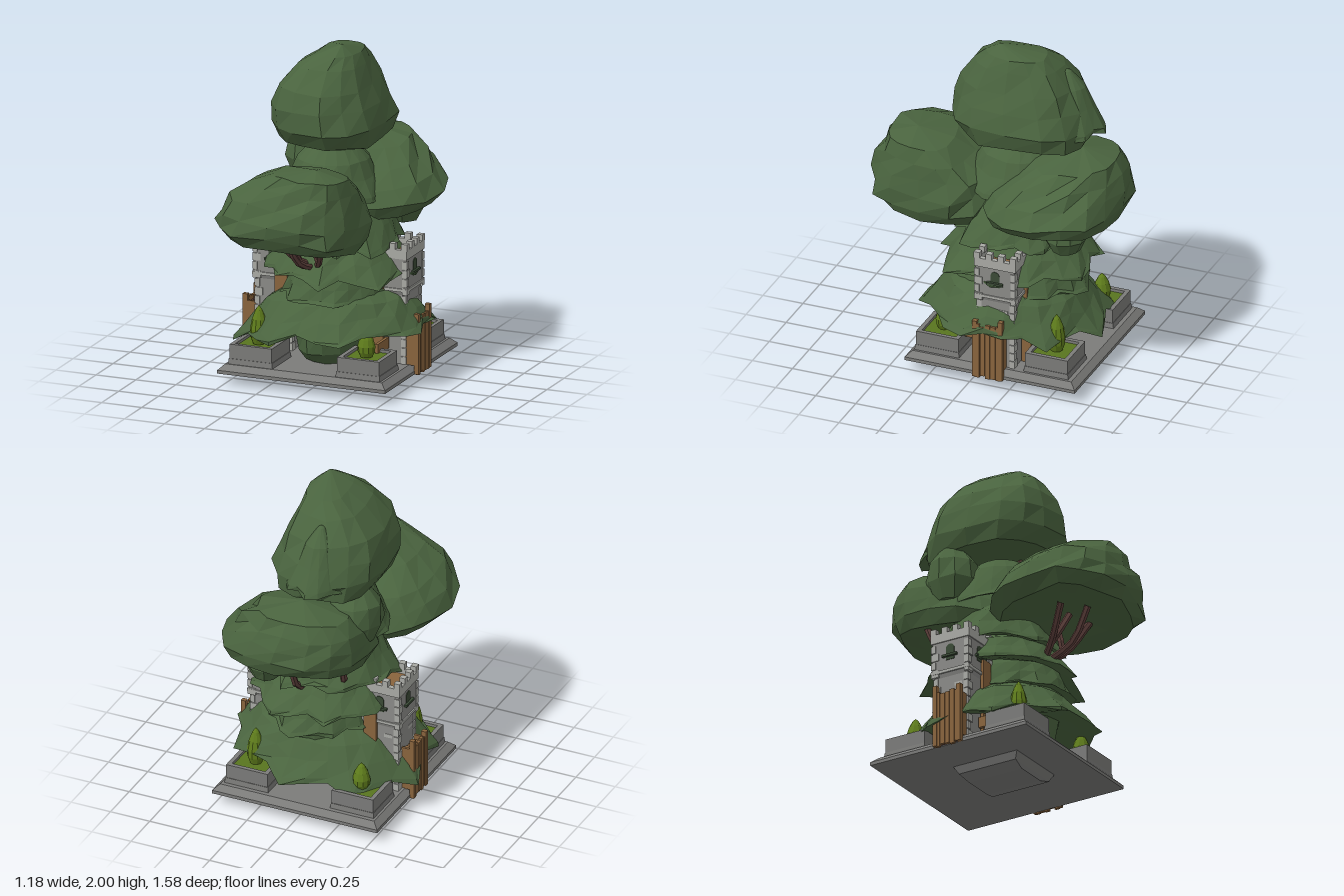
import * as THREE from 'three';

const mat = (name, color, side = THREE.FrontSide) => {
  const m = new THREE.MeshStandardMaterial({ color, side, flatShading: true });
  m.name = name;
  return m;
};

// Repeatable pseudo-random value in -1..1
const hash = (a, b) => {
  const s = Math.sin(a * 127.1 + b * 311.7) * 43758.5453;
  return (s - Math.floor(s)) * 2 - 1;
};

// Faceted surface lofted through rings of [y, cx, cz, rx, rz, jag]; power below 1 squares the outline
function loft(rings, n, seed, rough, slopeX = 0, slopeZ = 0, power = 1) {
  const pos = [], idx = [];
  const bulge = v => Math.sign(v) * Math.abs(v) ** power;
  rings.forEach(([y, cx, cz, rx, rz, jag = 0], r) => {
    for (let i = 0; i < n; i++) {
      const a = (i / n) * Math.PI * 2;
      const lobe = jag * (0.6 * hash(i, seed) + 0.4 * Math.sin(i * 2.1 + seed));
      const k = 1 + rough * hash(i + r * 31, seed) + lobe;
      const dx = bulge(Math.cos(a)) * rx * k, dz = bulge(Math.sin(a)) * rz * k;
      const dy = rx * (rough * 0.7 * hash(i + r * 17, seed + 5) - lobe * 0.7);
      pos.push(cx + dx, y + dy + dx * slopeX + dz * slopeZ, cz + dz);
      if (r < rings.length - 1) {
        const p = r * n + i, q = r * n + ((i + 1) % n);
        idx.push(p, p + n, q, q, p + n, q + n);
      }
    }
  });
  const g = new THREE.BufferGeometry();
  g.setAttribute('position', new THREE.Float32BufferAttribute(pos, 3));
  g.setIndex(idx);
  const flat = g.toNonIndexed();
  flat.computeVertexNormals();
  return flat;
}

// Rectangular block whose top may differ in size from its bottom, standing on y = 0
function taper(w, d, h, topW = w, topD = d) {
  const g = new THREE.BoxGeometry(w, h, d).translate(0, h / 2, 0);
  const p = g.attributes.position;
  for (let i = 0; i < p.count; i++) {
    if (p.getY(i) > h / 2) p.setXYZ(i, p.getX(i) * topW / w, h, p.getZ(i) * topD / d);
  }
  g.computeVertexNormals();
  return g;
}

export function createModel() {
  const leaf = mat('leaf green', 0x4a643f, THREE.DoubleSide);
  const bark = mat('bark', 0x5e403c);
  const stone = mat('base stone', 0x7b7b79);
  const wall = mat('tower stone', 0x8a8a87);
  const trim = mat('pale stone', 0xa9aaa5);
  const wood = mat('wood', 0x89643d);
  const grass = mat('grass', 0x58751f);
  const shrub = mat('shrub green', 0x5f7d1c);
  const dark = mat('window green', 0x3a4a36);

  const root = new THREE.Group();
  const add = (name, geo, m, x = 0, y = 0, z = 0, parent = root) => {
    const mesh = new THREE.Mesh(geo, m);
    mesh.name = name;
    mesh.position.set(x, y, z);
    parent.add(mesh);
    return mesh;
  };
  const box = (name, m, w, h, d, x, y, z, parent) =>
    add(name, new THREE.BoxGeometry(w, h, d), m, x, y, z, parent);
  const CX = -0.01, CZ = -0.13;

  // Base slab and the tapered foot below it
  add('baseLip', taper(1.05, 1.06, 0.02), stone, CX, 0.065, CZ);
  add('baseSlab', taper(1.05, 1.06, 0.033, 0.98, 0.99), stone, CX, 0.085, CZ);
  add('footSole', taper(0.2, 0.36, 0.022, 0.36, 0.385), stone, -0.055, 0, -0.05);
  add('foot', taper(0.36, 0.385, 0.045, 0.405, 0.435), stone, -0.062, 0.022, -0.05);

  // Corner planters with a grass bed and a shrub
  const frame = new THREE.Shape();
  const square = (path, s) => path.moveTo(-s, -s).lineTo(s, -s).lineTo(s, s).lineTo(-s, s).closePath();
  square(frame, 0.132);
  frame.holes.push(square(new THREE.Path(), 0.106));
  const frameGeo = new THREE.ExtrudeGeometry(frame, { depth: 0.085, bevelEnabled: false })
    .rotateX(-Math.PI / 2);
  const shrubGeo = new THREE.LatheGeometry([[0, 0], [0.035, 0.02], [0.05, 0.2], [0.052, 0.4], [0.04, 0.65], [0.02, 0.88], [0, 1]]
    .map(([x, y]) => new THREE.Vector2(x, y)), 10);
  for (const sx of [-1, 1]) for (const sz of [-1, 1]) {
    const p = new THREE.Group();
    p.name = 'planter';
    p.position.set(CX + sx * 0.336, 0.118, CZ + 0.01 + sz * 0.34);
    root.add(p);
    add('planterPlinth', taper(0.278, 0.278, 0.032, 0.27, 0.27), stone, 0, 0, 0, p);
    add('planterWall', frameGeo, stone, 0, 0.032, 0, p);
    box('grassBed', grass, 0.215, 0.07, 0.215, 0, 0.065, 0, p);
    const s = add('shrub', shrubGeo, shrub, 0, 0.1, sz * 0.01, p);
    s.scale.y = sx === sz ? 0.17 : 0.235;
  }

  // Towers, gates and fences, one set on each side
  const arch = new THREE.Shape();
  arch.moveTo(-0.028, 0).lineTo(0.028, 0).lineTo(0.028, 0.07).absarc(0, 0.07, 0.028, 0, Math.PI).closePath();
  const archGeo = new THREE.ExtrudeGeometry(arch, { depth: 0.006, bevelEnabled: false });
  for (const s of [-1, 1]) {
    const t = new THREE.Group();
    t.name = 'tower';
    t.position.set(CX + s * 0.355, 0, -0.145);
    root.add(t);
    box('towerShaft', wall, 0.225, 0.46, 0.225, 0, 0.34, 0, t);
    add('corbel', taper(0.225, 0.225, 0.035, 0.25, 0.25), wall, 0, 0.53, 0, t);
    box('crown', wall, 0.245, 0.2, 0.245, 0, 0.66, 0, t);
    box('towerFloor', wood, 0.2, 0.008, 0.2, 0, 0.765, 0, t);
    for (let k = 0; k < 4; k++) {
      const side = new THREE.Group();
      side.name = 'towerSide';
      side.rotation.y = k * Math.PI / 2;
      t.add(side);
      box('parapet', trim, 0.255, 0.055, 0.03, 0, 0.777, 0.115, side);
      box('ledge', trim, 0.258, 0.018, 0.02, 0, 0.562, 0.12, side);
      for (let i = 0; i < 4; i++) {
        box('merlon', trim, 0.036, 0.04, 0.036, -0.112 + i * 0.0747, 0.82, 0.112, side);
      }
      // Alternating corner stones
      for (let i = 0; i < 12; i++) {
        const y = 0.14 + i * 0.052, r = y > 0.53 ? 0.11 : 0.1, w = i % 2 ? 0.03 : 0.05;
        box('cornerStone', trim, w, 0.044, 0.03, -r - 0.018 + w / 2, y, r + 0.003, side);
      }
      // Arched window with sill
      add('window', archGeo, dark, 0, 0.63, 0.12, side);
      box('sill', dark, 0.1, 0.014, 0.03, 0, 0.655, 0.125, side);
      box('wallBrick', trim, 0.05, 0.022, 0.008, 0.05, 0.47, 0.111, side);
      box('wallBrick', trim, 0.045, 0.022, 0.008, -0.045, 0.36, 0.111, side);
    }

    // Plank gate with side walls and a walkway behind it
    const gx = CX + s * 0.536;
    for (let i = 0; i < 5; i++) {
      box('gatePlank', wood, 0.018, 0.335 + 0.02 * hash(i, s), 0.029, gx, 0.232, -0.06 - i * 0.0325, root);
      box('walkwayPlank', wood, 0.075, 0.012, 0.028, gx - s * 0.04, 0.35 + 0.006 * (i % 2), -0.06 - i * 0.0325, root);
    }
    box('gateBacking', bark, 0.012, 0.3, 0.17, gx - s * 0.012, 0.22, -0.125, root);
    for (const z of [-0.045, -0.205]) {
      box('gatePost', wood, 0.03, z < -0.1 ? 0.38 : 0.36, 0.028, gx, z < -0.1 ? 0.255 : 0.245, z, root);
      box('gateSide', wood, 0.08, 0.27, 0.015, gx - s * 0.04, 0.25, z, root);
    }
    // Beam and board between the tower and the planters
    box('fenceBeam', wood, 0.02, 0.065, 0.16, CX + s * 0.36, 0.24, 0.06, root);
    box('fenceBoard', wood, 0.02, 0.18, 0.06, CX + s * 0.36, 0.21, -0.295, root);
    // Wooden lean-to against the tower
    box('woodPanel', wood, 0.08, 0.53, 0.02, CX + s * 0.3, 0.385, -0.015, root);
    box('woodPanel', wood, 0.08, 0.53, 0.02, CX + s * 0.3, 0.385, -0.275, root);
  }

  // Trunk
  add('trunk', new THREE.CylinderGeometry(0.05, 0.13, 1.4, 8).translate(0, 0.8, 0), bark, 0, 0, CZ);

  // Branches: root, elbow and tip points
  const branches = [
    [-0.01, 0.7, 0.18, -0.1, 0.79, 0.3, -0.19, 0.97, 0.42], [-0.01, 0.7, 0.18, 0.06, 0.78, 0.3, 0.13, 0.97, 0.42],
    [-0.01, 0.7, 0.18, -0.03, 0.79, 0.4, -0.06, 0.97, 0.52], [-0.08, 0.77, 0.27, -0.08, 0.84, 0.33, -0.02, 0.97, 0.37],
    [0.05, 0.77, 0.28, 0.03, 0.84, 0.28, 0.05, 0.97, 0.23],
    [0.1, 0.78, -0.2, 0.25, 0.86, -0.25, 0.3, 1.06, -0.38], [0.2, 0.84, -0.23, 0.27, 0.92, -0.2, 0.28, 1.06, -0.15],
    [0.03, 0.74, -0.3, 0.05, 0.82, -0.5, 0.05, 1.08, -0.6], [0.05, 0.8, -0.42, 0.14, 0.86, -0.45, 0.2, 1.06, -0.5],
    [-0.08, 0.78, -0.3, -0.2, 0.86, -0.4, -0.22, 1.08, -0.5],
    [0, 1.25, -0.08, 0.02, 1.34, -0.02, 0.02, 1.48, 0.05], [0, 1.25, -0.1, 0.05, 1.35, -0.2, 0.08, 1.48, -0.25]
  ];
  for (const b of branches) {
    const pts = [0, 3, 6].map(i => new THREE.Vector3(b[i], b[i + 1], b[i + 2]));
    add('branch', new THREE.TubeGeometry(new THREE.CatmullRomCurve3(pts), 6, 0.02, 6), bark);
  }

  // Drooping foliage skirts: hollow underside, ragged rim, rounded shoulders
  const skirt = (seed, cx, cz, top, topR, bottom, rx, rz, jag, n = 26, slopeX = 0, slopeZ = 0) => {
    const h = top - bottom, topZ = topR * rz / rx;
    const mix = (f) => [rx * f + topR * (1 - f), rz * f + topZ * (1 - f)];
    add('foliageSkirt', loft([
      [bottom + h * 0.35, cx, cz, topR * 0.8, topZ * 0.8],
      [bottom + h * 0.08, cx, cz, rx * 0.8, rz * 0.8, jag * 0.5],
      [bottom, cx, cz, rx, rz, jag],
      [bottom + h * 0.09, cx, cz, rx * 0.97, rz * 0.97, jag],
      [bottom + h * 0.42, cx, cz, ...mix(0.66), jag * 0.45],
      [bottom + h * 0.75, cx, cz, ...mix(0.4)],
      [top, cx, cz, topR, topZ], [top + 0.01, cx, cz, 0, 0]], n, seed, 0.025, slopeX, slopeZ), leaf);
  };
  add('foliageCore', loft([[0.12, 0, -0.1, 0.17, 0.25], [0.19, 0, -0.1, 0.21, 0.33], [0.34, 0, -0.1, 0.23, 0.36],
    [0.5, 0.02, -0.1, 0.27, 0.38], [0.95, 0, CZ, 0.2, 0.25]], 14, 2, 0.03), leaf);
  skirt(4, 0.02, -0.1, 0.54, 0.31, 0.28, 0.58, 0.53, 0.12, 26, 0.08, 0.07);
  skirt(9, 0.03, -0.11, 0.72, 0.24, 0.51, 0.335, 0.43, 0.07);
  skirt(14, 0.02, -0.12, 0.88, 0.22, 0.65, 0.44, 0.44, 0.13);
  skirt(21, 0, -0.13, 1.08, 0.2, 0.81, 0.38, 0.37, 0.13);
  skirt(27, -0.02, -0.1, 1.37, 0.14, 1.08, 0.31, 0.33, 0.1, 18);
  skirt(33, -0.05, -0.38, 1.84, 0.02, 1.48, 0.19, 0.23, 0.13, 16);

  // Large leaf crowns
  add('frontCrown', loft([[1.0, 0, 0.33, 0, 0], [0.94, -0.05, 0.36, 0.26, 0.26], [0.92, -0.06, 0.385, 0.38, 0.35],
    [0.99, -0.075, 0.385, 0.445, 0.4], [1.08, -0.055, 0.385, 0.41, 0.4], [1.17, -0.03, 0.39, 0.37, 0.36],
    [1.26, 0.02, 0.425, 0.3, 0.27], [1.34, 0.08, 0.46, 0.21, 0.19], [1.385, 0.12, 0.48, 0, 0]],
  16, 41, 0.05, -0.08, 0.06, 0.8), leaf);
  add('backCrown', loft([[1.04, 0.05, -0.35, 0, 0], [1.0, 0.06, -0.36, 0.27, 0.28], [0.99, 0.08, -0.38, 0.4, 0.37],
    [1.06, 0.085, -0.385, 0.445, 0.4], [1.15, 0.06, -0.385, 0.4, 0.385], [1.24, 0.03, -0.42, 0.36, 0.32],
    [1.33, 0.02, -0.47, 0.27, 0.24], [1.4, 0.01, -0.5, 0, 0]], 16, 52, 0.05, 0.02, -0.09, 0.85), leaf);
  add('topCrown', loft([[1.43, 0, -0.15, 0, 0], [1.4, 0, -0.17, 0.2, 0.27], [1.42, -0.02, -0.15, 0.29, 0.37],
    [1.52, -0.03, -0.13, 0.33, 0.42], [1.64, -0.04, -0.11, 0.3, 0.39], [1.75, -0.04, -0.1, 0.27, 0.345],
    [1.87, -0.01, -0.1, 0.19, 0.26], [1.94, 0.03, -0.1, 0.12, 0.18], [2.0, 0.07, -0.01, 0, 0]],
  14, 63, 0.05, 0, 0, 0.8), leaf);

  // Smaller leaf clumps
  const clump = (seed, x, y, z, r, h) => add('leafClump', loft(
    [[y - h, x, z, 0, 0], [y - h * 0.8, x, z, r * 0.7, r * 0.7], [y - h * 0.2, x, z, r, r],
      [y + h * 0.4, x, z, r * 0.9, r * 0.9], [y + h * 0.85, x, z, r * 0.5, r * 0.5], [y + h, x, z, 0, 0]],
    10, seed, 0.07), leaf);
  clump(71, -0.23, 1.27, -0.29, 0.16, 0.2);
  clump(72, 0.25, 0.95, -0.49, 0.12, 0.13);

  return root;
}
